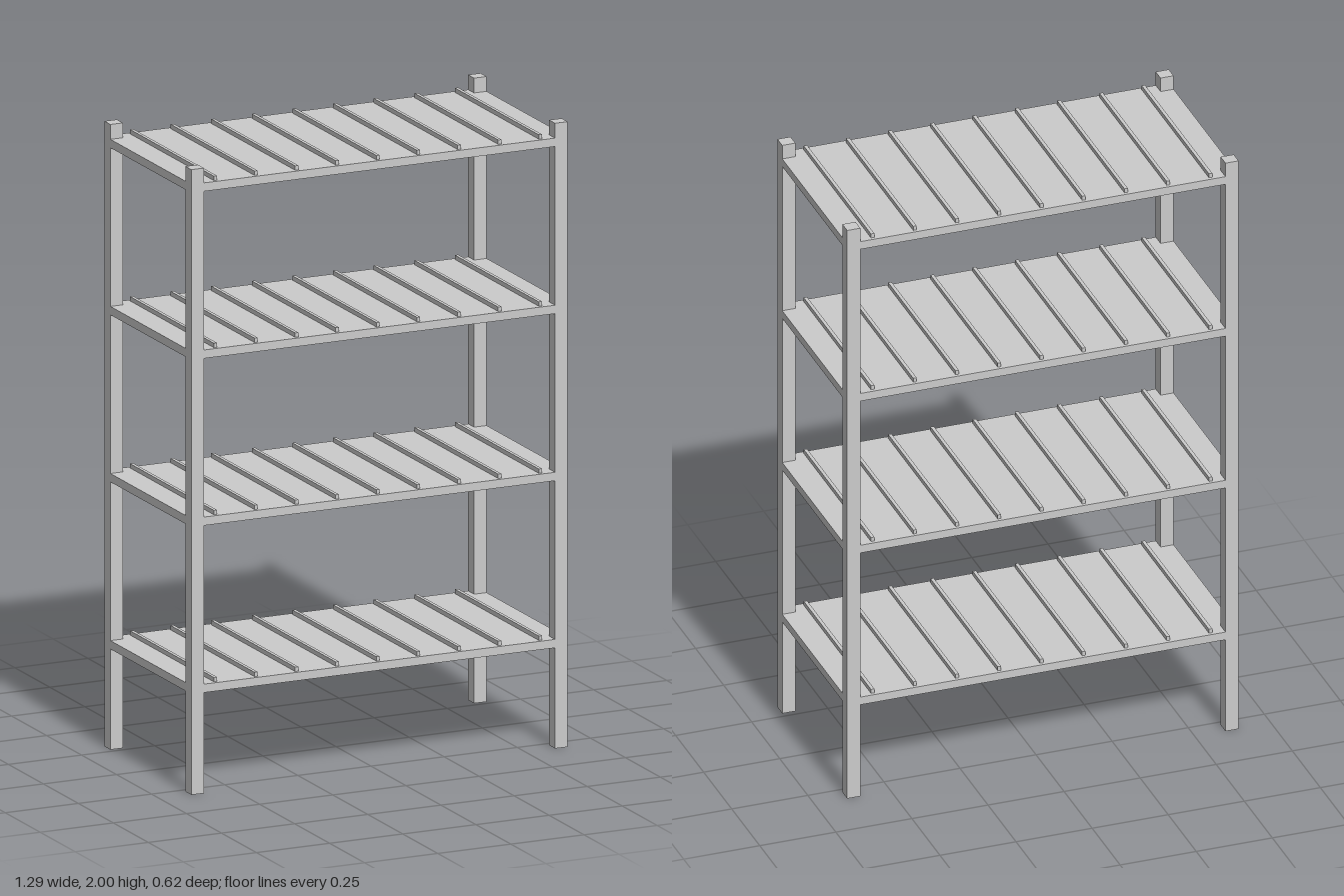
import * as THREE from 'three';

const WIDTH = 1.286, DEPTH = 0.622, HEIGHT = 2;
const POST = 0.043;
const SHELF_THICKNESS = 0.027, SHELF_BOTTOM = 0.322, SHELF_SPACING = 0.5345;
const SLAT_COUNT = 9, SLAT_SPACING = 0.1388;
const SLAT_WIDTH = 0.011, SLAT_HEIGHT = 0.014, SLAT_LENGTH = 0.6;

const material = new THREE.MeshStandardMaterial({ color: 0xcccccc });

// Box standing on the given y
function box(name, w, h, d, x, y, z) {
  const mesh = new THREE.Mesh(new THREE.BoxGeometry(w, h, d), material);
  mesh.name = name;
  mesh.position.set(x, y + h / 2, z);
  return mesh;
}

export function createModel() {
  const rack = new THREE.Group();
  rack.name = 'shelvingRack';

  // Four corner posts
  for (const sx of [-1, 1]) {
    for (const sz of [-1, 1]) {
      const name = (sz > 0 ? 'front' : 'back') + (sx > 0 ? 'Left' : 'Right') + 'Post';
      rack.add(box(name, POST, HEIGHT, POST, sx * (WIDTH - POST) / 2, 0, sz * (DEPTH - POST) / 2));
    }
  }

  // Four shelves, each a board with thin raised slats running front to back
  for (let i = 0; i < 4; i++) {
    const shelf = new THREE.Group();
    shelf.name = `shelf${i + 1}`;
    shelf.position.y = SHELF_BOTTOM + i * SHELF_SPACING;
    shelf.add(box('board', WIDTH, SHELF_THICKNESS, DEPTH, 0, 0, 0));
    for (let j = 0; j < SLAT_COUNT; j++) {
      const x = (j - (SLAT_COUNT - 1) / 2) * SLAT_SPACING;
      shelf.add(box(`slat${j + 1}`, SLAT_WIDTH, SLAT_HEIGHT, SLAT_LENGTH, x, SHELF_THICKNESS, 0));
    }
    rack.add(shelf);
  }
  return rack;
}
